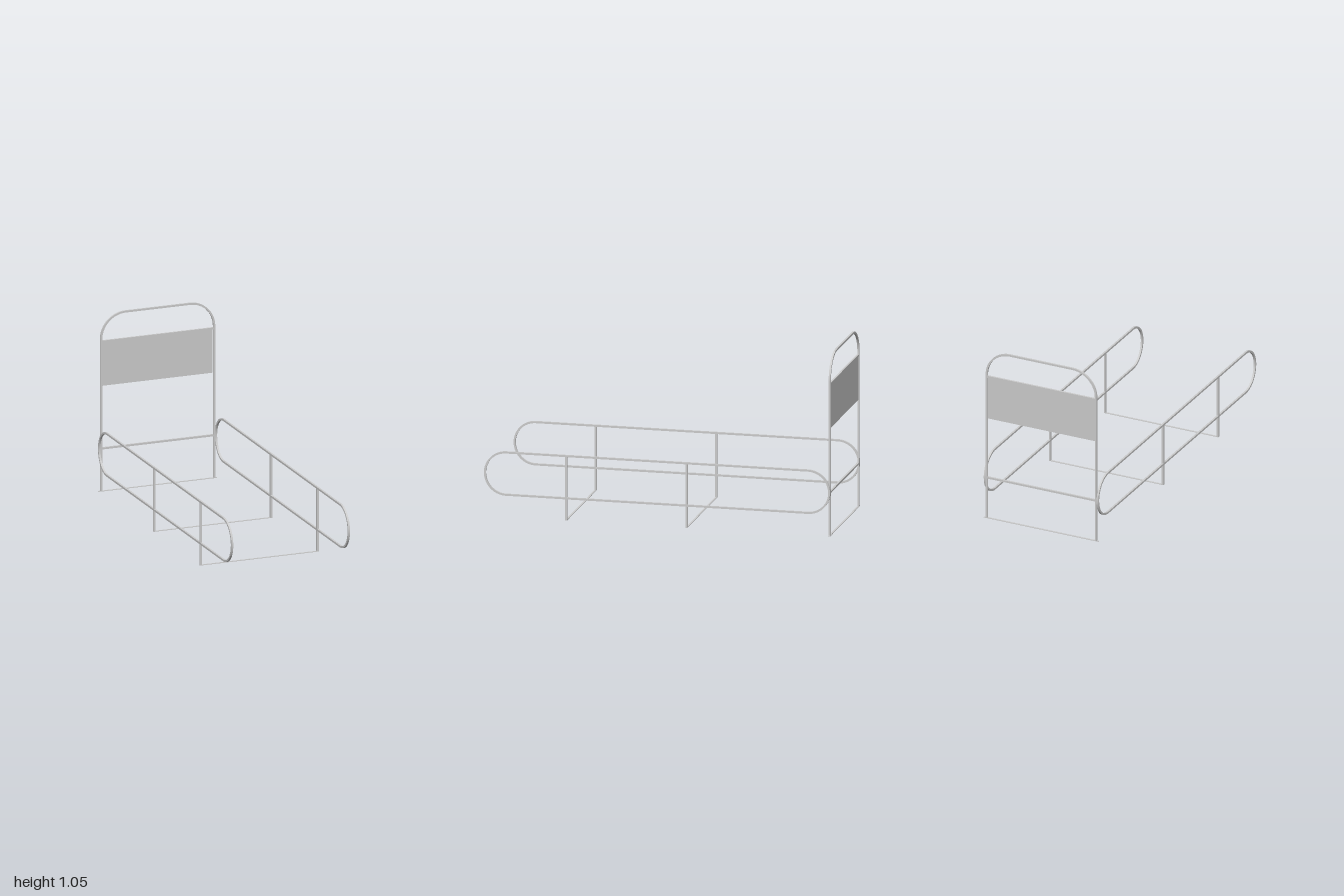
import * as THREE from 'three';

const T = 0.011; // bar thickness
const HEAD_Z = -0.9945, HEAD_X = 0.342, RAIL_X = 0.3535;
const steel = new THREE.MeshStandardMaterial({ color: 0xcccccc });
const sheet = new THREE.MeshStandardMaterial({ color: 0xcccccc, side: THREE.DoubleSide });

function add(parent, name, geometry, x = 0, y = 0, z = 0, material = steel) {
  const mesh = new THREE.Mesh(geometry, material);
  mesh.name = name;
  mesh.position.set(x, y, z);
  parent.add(mesh);
  return mesh;
}

// Stadium outline lying along the shape's x axis
function stadium(Curve, half, r) {
  const s = new Curve();
  s.absarc(half, 0, r, -Math.PI / 2, Math.PI / 2, false);
  s.absarc(-half, 0, r, Math.PI / 2, Math.PI * 1.5, false);
  s.closePath();
  return s;
}

function extrudeBar(shape) {
  return new THREE.ExtrudeGeometry(shape, { depth: T, bevelEnabled: false, curveSegments: 24 })
    .translate(0, 0, -T / 2);
}

// Side rail: long closed loop with rounded ends
function railGeometry() {
  const r = 0.128;
  const shape = stadium(THREE.Shape, 1 - r, r);
  shape.holes.push(stadium(THREE.Path, 1 - r, r - T));
  return extrudeBar(shape).rotateY(Math.PI / 2);
}

// Head frame: two uprights joined by an arch with rounded corners
function headFrameGeometry() {
  const cx = 0.195, cy = 0.893, r = HEAD_X - cx, o = r + T / 2, i = r - T / 2;
  const rise = 1.04 - cy, oy = rise + T / 2, iy = rise - T / 2;
  const s = new THREE.Shape();
  s.moveTo(cx + o, 0);
  s.lineTo(cx + o, cy);
  s.absellipse(cx, cy, o, oy, 0, Math.PI / 2, false);
  s.absellipse(-cx, cy, o, oy, Math.PI / 2, Math.PI, false);
  s.lineTo(-cx - o, 0);
  s.lineTo(-cx - i, 0);
  s.lineTo(-cx - i, cy);
  s.absellipse(-cx, cy, i, iy, Math.PI, Math.PI / 2, true);
  s.absellipse(cx, cy, i, iy, Math.PI / 2, 0, true);
  s.lineTo(cx + i, 0);
  s.closePath();
  return extrudeBar(s);
}

export function createModel() {
  const model = new THREE.Group();
  model.name = 'bedFrame';

  // Headboard
  const head = new THREE.Group();
  head.name = 'headboard';
  head.position.z = HEAD_Z;
  model.add(head);
  add(head, 'headFrame', headFrameGeometry());
  const barLength = 2 * HEAD_X - T;
  add(head, 'upperCrossbar', new THREE.BoxGeometry(barLength, T, T), 0, 0.88);
  add(head, 'lowerCrossbar', new THREE.BoxGeometry(barLength, T, T), 0, 0.252);
  add(head, 'headPanel', new THREE.PlaneGeometry(0.671, 0.256), -0.002, 0.747, 0, sheet);

  // Side rails and their legs
  const legHeight = 0.37;
  for (const side of [1, -1]) {
    const name = side > 0 ? 'left' : 'right';
    add(model, name + 'SideRail', railGeometry(), side * RAIL_X, 0.251);
    for (const z of [0.526, -0.17]) {
      add(model, name + 'Leg', new THREE.BoxGeometry(T, legHeight, T), side * RAIL_X, legHeight / 2, z);
    }
  }

  // Flat strips on the floor joining each pair of legs
  for (const z of [0.526, -0.17, HEAD_Z]) {
    add(model, 'floorStrip', new THREE.BoxGeometry(0.718, 0.003, T), 0, 0.0015, z);
  }

  return model;
}
